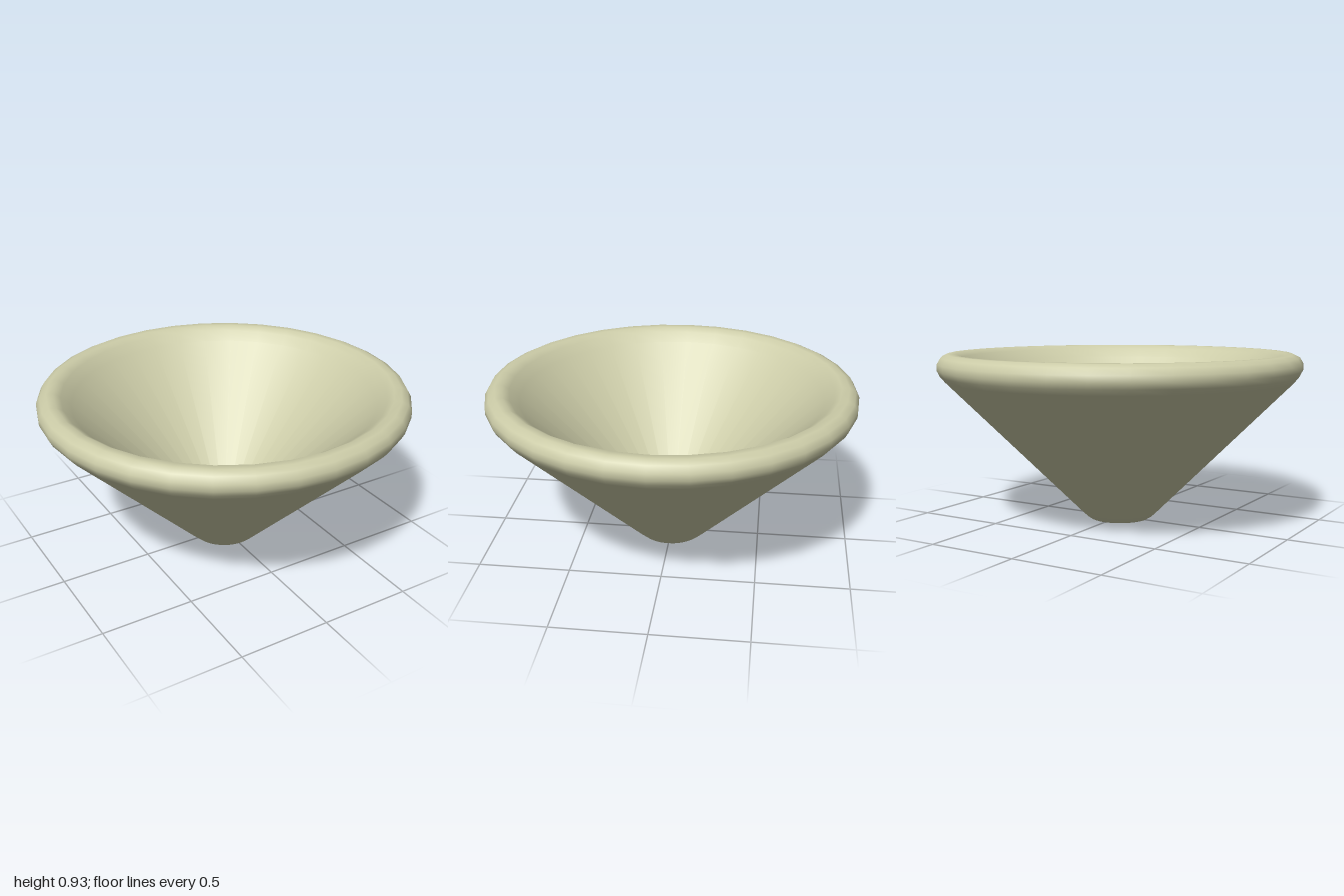
import * as THREE from 'three';

export function createModel() {
  const model = new THREE.Group();
  const material = new THREE.MeshStandardMaterial({ color: 0xcccca8 });

  // Closed wall profile: underside, outer cone, rounded rim, inner cone
  const profile = [
    [0, 0], [0.165, 0], [0.185, 0.012], [0.22, 0.045],
    [0.96, 0.785], [0.985, 0.815], [1, 0.845], [1, 0.88],
    [0.98, 0.913], [0.945, 0.93], [0.905, 0.93], [0.87, 0.908],
    [0.82, 0.86], [0.03, 0.07], [0, 0.055],
  ].map(([r, y]) => new THREE.Vector2(r, y));

  const bowl = new THREE.Mesh(new THREE.LatheGeometry(profile, 32), material);
  bowl.name = 'bowl';
  model.add(bowl);
  return model;
}
